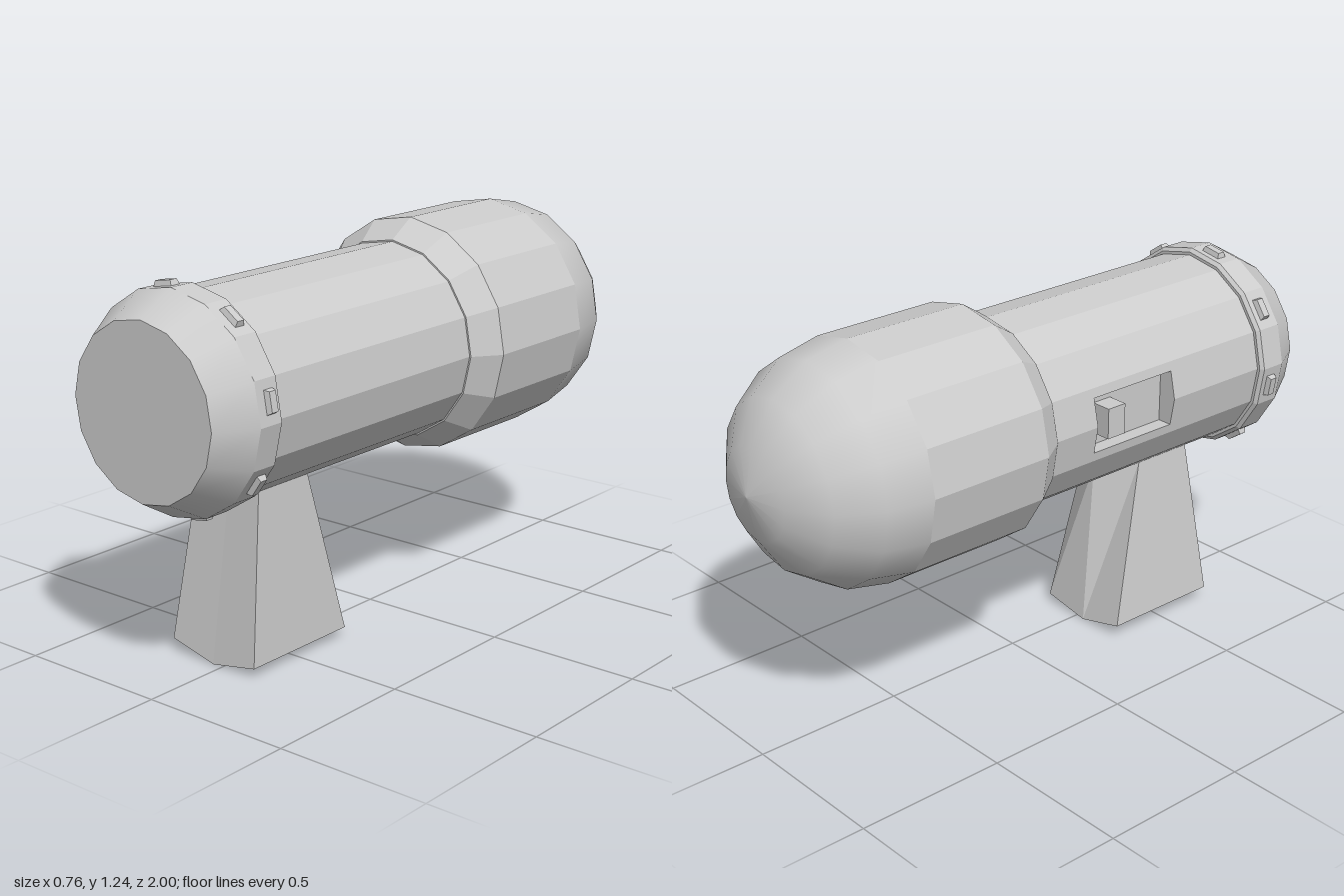
import * as THREE from 'three';

const SIDES = 16, STEP = (Math.PI * 2) / SIDES, TURN = -1.5 * Math.PI / 180;
const AXIS_Y = 0.86, TUBE_R = 0.315;

const flat = new THREE.MeshStandardMaterial({ color: 0xcccccc, flatShading: true });
const flatDouble = new THREE.MeshStandardMaterial({ color: 0xcccccc, flatShading: true, side: THREE.DoubleSide });
const smooth = new THREE.MeshStandardMaterial({ color: 0xcccccc });

function add(parent, name, geometry, material) {
  const mesh = new THREE.Mesh(geometry, material);
  mesh.name = name;
  parent.add(mesh);
  return mesh;
}

// Turned part along z; profile is [radius, z] with z rising
function turned(profile) {
  return new THREE.LatheGeometry(profile.map(([r, z]) => new THREE.Vector2(r, z)), SIDES, TURN)
    .rotateX(Math.PI / 2);
}

// Geometry from a list of four-cornered faces
function quads(list) {
  const pos = [];
  for (const [a, b, c, d] of list) pos.push(...a, ...b, ...c, ...a, ...c, ...d);
  const g = new THREE.BufferGeometry();
  g.setAttribute('position', new THREE.Float32BufferAttribute(pos, 3));
  g.computeVertexNormals();
  return g;
}

// Point on the tube's polygon; whole values of t are corners
function rim(t, z) {
  const k = Math.floor(t), f = t - k;
  const a = TURN + k * STEP, b = a + STEP;
  return [
    TUBE_R * (Math.cos(a) * (1 - f) + Math.cos(b) * f),
    TUBE_R * (Math.sin(a) * (1 - f) + Math.sin(b) * f),
    z,
  ];
}

export function createModel() {
  const model = new THREE.Group();
  const body = new THREE.Group();
  body.name = 'body';
  body.position.y = AXIS_Y;
  model.add(body);

  // Domed end, then the wide head with its flare
  const dome = [];
  for (let i = 0; i <= 4; i++) {
    const a = (i / 4) * Math.PI / 2;
    dome.push([0.38 * Math.sin(a), -0.62 - 0.38 * Math.cos(a)]);
  }
  add(body, 'dome', turned(dome), smooth);
  add(body, 'head', turned([[0.38, -0.62], [0.38, -0.19], [0.32, -0.1], [0.3, -0.1]]), flat);

  // Tube with an opening around its -x corner
  const z0 = -0.11, z1 = 0.07, z2 = 0.4, z3 = 0.8, mid = 8, half = 0.75;
  const panels = [];
  const panel = (t0, t1, a, b) => panels.push([rim(t0, a), rim(t1, a), rim(t1, b), rim(t0, b)]);
  for (let k = 0; k < SIDES; k++) {
    if (k !== mid - 1 && k !== mid) { panel(k, k + 1, z0, z3); continue; }
    panel(k, k + 1, z0, z1);
    panel(k, k + 1, z2, z3);
    if (k < mid) panel(k, mid - half, z1, z2);
    else panel(mid + half, k + 1, z1, z2);
  }
  add(body, 'tube', quads(panels), flatDouble);

  // Recess floor and walls behind the opening
  const floorX = -0.25;
  const outline = [mid - half, mid, mid + half];
  const inner = (t, z) => [floorX, rim(t, z)[1], z];
  const recess = [[inner(outline[0], z1), inner(outline[2], z1), inner(outline[2], z2), inner(outline[0], z2)]];
  for (const t of [outline[0], outline[2]]) recess.push([rim(t, z1), rim(t, z2), inner(t, z2), inner(t, z1)]);
  for (const z of [z1, z2]) {
    for (let i = 0; i < 2; i++) {
      const a = outline[i], b = outline[i + 1];
      recess.push([rim(a, z), rim(b, z), inner(b, z), inner(a, z)]);
    }
  }
  add(body, 'switchRecess', quads(recess), flatDouble);
  add(body, 'switchKnob', new THREE.BoxGeometry(0.08, 0.1, 0.07), flat).position.set(-0.278, 0.008, 0.145);

  // Collar, tapered cap and end face
  add(body, 'collar', turned([[0.3, 0.785], [0.325, 0.785], [0.337, 0.795], [0.337, 0.88]]), flat);
  add(body, 'capBevel', turned([[0.337, 0.88], [0.267, 1]]), smooth);
  add(body, 'endFace', turned([[0.267, 1], [0, 1]]), flat);

  // Tapered studs on every second collar face
  const stud = new THREE.BoxGeometry(0.03, 0.08, 0.042);
  const p = stud.attributes.position;
  for (let i = 0; i < p.count; i++) {
    if (p.getX(i) > 0) p.setXYZ(i, p.getX(i), p.getY(i) * 0.75, p.getZ(i) * 0.6);
  }
  for (let i = 0; i < 8; i++) {
    const a = TURN + STEP / 2 + i * 2 * STEP;
    const s = add(body, 'collarStud', stud, flat);
    s.position.set(0.332 * Math.cos(a), 0.332 * Math.sin(a), 0.832);
    s.rotation.z = a;
  }

  // Handle flaring down from two tube faces; rows are +x side, ridge, -x side
  const top = [[0.112, 0.57], [-0.008, 0.546], [-0.132, 0.575]];
  const bottom = [[0.132, 0.03], [-0.035, 0], [-0.2, 0.042]];
  const tf = top.map(v => [...v, 0.65]);
  const tb = top.map((v, i) => [...v, [0.435, 0.35, 0.435][i]]);
  const bf = bottom.map(v => [...v, 0.705]);
  const bb = bottom.map(v => [...v, 0.287]);
  const faces = [
    [bf[0], bb[0], tb[0], tf[0]],
    [bb[2], bf[2], tf[2], tb[2]],
  ];
  for (let i = 0; i < 2; i++) {
    faces.push([bf[i + 1], bf[i], tf[i], tf[i + 1]]);
    faces.push([bb[i], bb[i + 1], tb[i + 1], tb[i]]);
    faces.push([bf[i], bf[i + 1], bb[i + 1], bb[i]]);
  }
  add(model, 'handle', quads(faces), flatDouble);

  return model;
}
